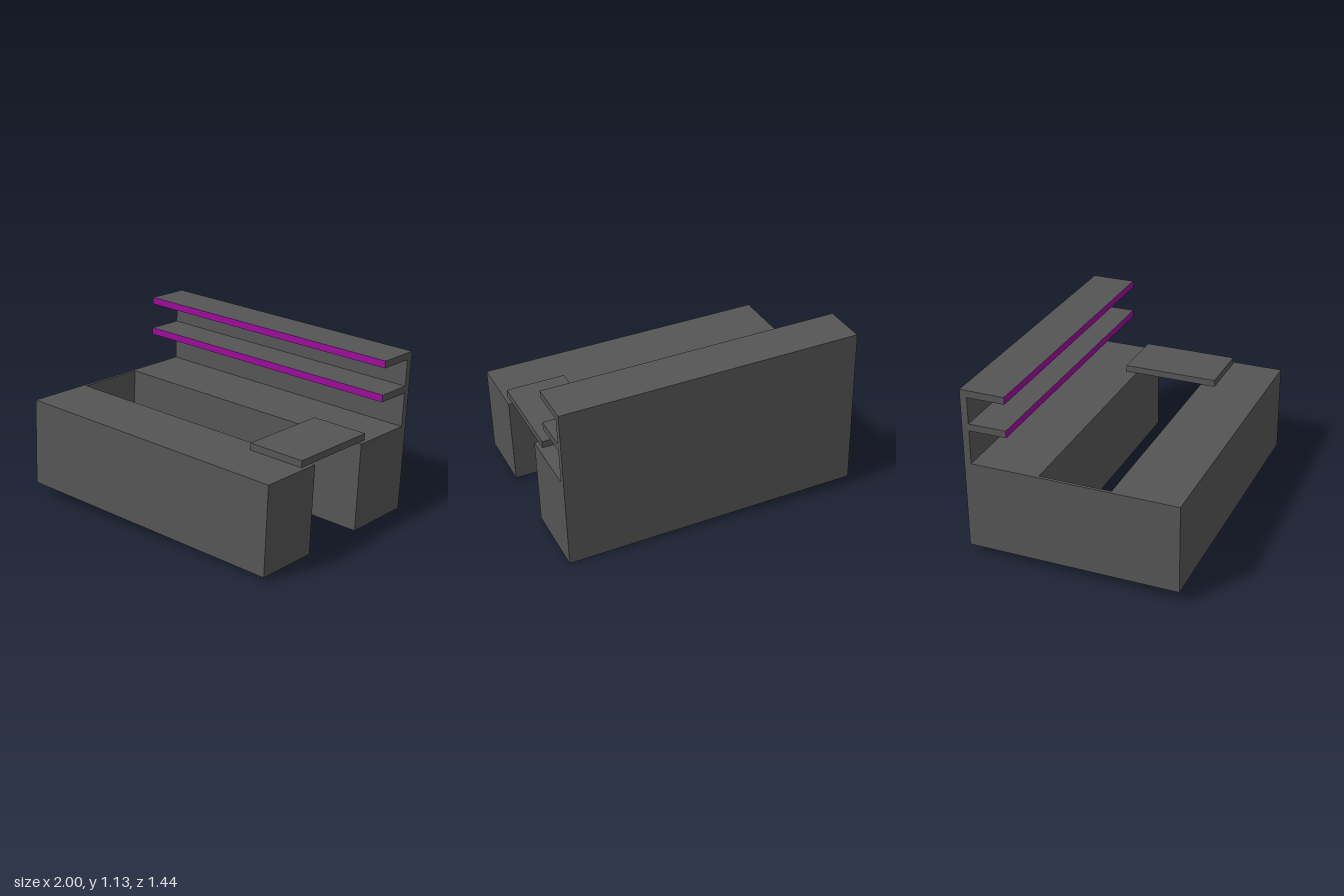
import * as THREE from 'three';

const LENGTH = 1.933;        // runs from local x = -LENGTH to 0
const DEPTH = 1.375;         // local z, back = 0
const COUNTER_H = 0.577;
const WALL_H = 1.063;
const WALL_T = 0.045;
const SHELF_D = 0.29;
const SHELF_T = 0.046;
const SHELF_TOPS = [0.845, WALL_H];
const BACK_D = 0.483;        // depth of the back counter
const FRONT_Z = 0.945;       // inner face of the front counter

const grey = new THREE.MeshStandardMaterial({ color: 0x555555, flatShading: true });
const purple = new THREE.MeshStandardMaterial({ color: 0x9c0a9c, flatShading: true });

// Box given by its low and high corners
function box(name, [x0, y0, z0], [x1, y1, z1]) {
  const mesh = new THREE.Mesh(new THREE.BoxGeometry(x1 - x0, y1 - y0, z1 - z0), grey);
  mesh.position.set((x0 + x1) / 2, (y0 + y1) / 2, (z0 + z1) / 2);
  mesh.name = name;
  return mesh;
}

// Back counter, wall and shelves share one side profile (z, y)
function backUnit() {
  const points = [[0, 0], [BACK_D, 0], [BACK_D, COUNTER_H], [WALL_T, COUNTER_H]];
  for (const top of SHELF_TOPS) {
    points.push([WALL_T, top - SHELF_T], [SHELF_D, top - SHELF_T], [SHELF_D, top]);
    points.push([top === WALL_H ? 0 : WALL_T, top]);
  }
  const shape = new THREE.Shape(points.map(([z, y]) => new THREE.Vector2(z, y)));
  const geometry = new THREE.ExtrudeGeometry(shape, { depth: LENGTH, bevelEnabled: false });
  geometry.rotateY(-Math.PI / 2);
  const mesh = new THREE.Mesh(geometry, grey);
  mesh.name = 'backCounterWithShelves';
  return mesh;
}

// Coloured strip covering the front edge of a shelf
function shelfStrip(name, top) {
  const mesh = new THREE.Mesh(new THREE.PlaneGeometry(LENGTH, SHELF_T), purple);
  mesh.position.set(-LENGTH / 2, top - SHELF_T / 2, SHELF_D + 0.001);
  mesh.name = name;
  return mesh;
}

export function createModel() {
  const stall = new THREE.Group();
  stall.name = 'counterStall';

  stall.add(backUnit());
  stall.add(box('frontCounter', [-LENGTH, 0, FRONT_Z], [0, COUNTER_H, DEPTH]));
  stall.add(box('endPanel', [-LENGTH, 0, BACK_D], [-LENGTH + 0.02, COUNTER_H, FRONT_Z]));
  stall.add(box('liftUpFlap', [-0.412, COUNTER_H, 0.411], [-0.026, COUNTER_H + 0.044, 1.041]));
  stall.add(shelfStrip('lowerShelfStrip', SHELF_TOPS[0]));
  stall.add(shelfStrip('upperShelfStrip', SHELF_TOPS[1]));

  // The whole stall leans and turns slightly
  const u = new THREE.Vector3(0.9992, -0.031, 0.0255).normalize();
  const w = new THREE.Vector3(-0.025, 0.018, 0.9995);
  const v = new THREE.Vector3().crossVectors(w, u).normalize();
  w.crossVectors(u, v);
  stall.quaternion.setFromRotationMatrix(new THREE.Matrix4().makeBasis(u, v, w));
  stall.position.set(0.967, 0, -0.655);

  const model = new THREE.Group();
  model.name = 'model';
  model.add(stall);
  return model;
}
